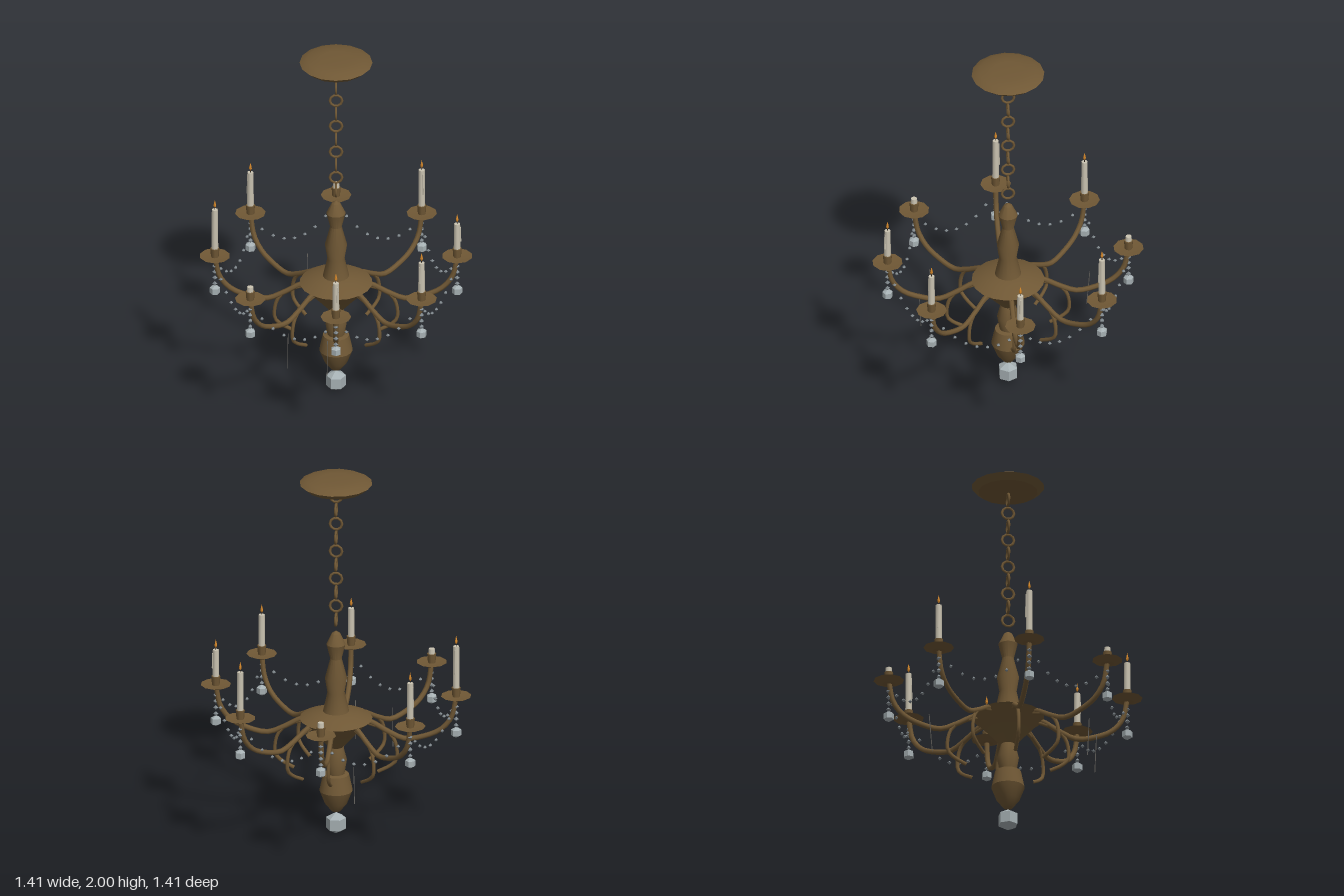
import * as THREE from 'three';
import { toCreasedNormals } from 'three/addons/utils/BufferGeometryUtils.js';

const material = (name, color, extra = {}) => {
  const m = new THREE.MeshStandardMaterial({ color, ...extra });
  m.name = name;
  return m;
};
const bronze = material('agedBronze', 0x705835);
const wax = material('candleWax', 0xcbc4b2);
const crystal = material('crystal', 0xa6b0b3);
const beadGlass = material('beadGlass', 0x7f878c);
const flameOrange = material('flameOrange', 0xd98a2b);
const wickBlack = material('wickBlack', 0x2a2118);
const webGrey = material('webGrey', 0x66645f, { side: THREE.DoubleSide });

const ARM_RADIUS = 0.63;
const ARM_COUNT = 8;

function add(parent, name, geometry, mat, x = 0, y = 0, z = 0) {
  const mesh = new THREE.Mesh(geometry, mat);
  mesh.name = name;
  mesh.position.set(x, y, z);
  parent.add(mesh);
  return mesh;
}

// Profiles run from bottom to top as [radius, height]
function lathe(profile, sides, crease = 0.55) {
  const points = profile.map(([r, y]) => new THREE.Vector2(r, y));
  return toCreasedNormals(new THREE.LatheGeometry(points, sides), crease);
}

// Tube in the radial plane, points as [radius, height]
function radialTube(points, radius, segments) {
  const curve = new THREE.CatmullRomCurve3(points.map(([r, y]) => new THREE.Vector3(r, y, 0)));
  return new THREE.TubeGeometry(curve, segments, radius, 6);
}

// Faceted drop with six upright sides
function crystalGeometry(radius) {
  return toCreasedNormals(new THREE.SphereGeometry(radius, 6, 3), 0.1);
}

export function createModel() {
  const model = new THREE.Group();
  model.name = 'chandelier';

  // Ceiling canopy
  add(model, 'ceilingCanopy', lathe([
    [0, 1.945], [0.155, 1.945], [0.19, 1.975], [0.15, 1.994], [0.08, 1.999], [0, 2.0],
  ], 16), bronze);

  // Chain of alternating links
  const linkGeometry = new THREE.TorusGeometry(0.032, 0.007, 6, 10);
  for (let i = 0; i < 10; i++) {
    const link = add(model, 'chainLink', linkGeometry, bronze, 0, 1.9 - i * 0.077, 0);
    link.rotation.y = i % 2 ? Math.PI / 2 : 0;
  }

  // Turned central column with bowl and lower bulb
  add(model, 'centralColumn', lathe([
    [0, 0.125], [0.025, 0.135], [0.06, 0.18], [0.087, 0.25], [0.068, 0.34], [0.045, 0.345],
    [0.057, 0.42], [0.038, 0.495], [0.1, 0.565], [0.16, 0.63], [0.19, 0.655],
    [0.12, 0.685], [0.068, 0.695], [0.045, 0.8], [0.058, 0.88], [0.03, 0.99],
    [0.05, 1.07], [0.022, 1.13], [0, 1.145],
  ], 18), bronze);
  add(model, 'bottomCrystal', crystalGeometry(0.06), crystal, 0, 0.065, 0);

  // Shared arm parts
  const armGeometry = radialTube([
    [0.1, 0.665], [0.18, 0.645], [0.27, 0.595], [0.36, 0.558], [0.47, 0.58],
    [0.55, 0.62], [0.605, 0.69], [0.63, 0.81],
  ], 0.014, 20);
  const hookGeometry = radialTube([
    [0.13, 0.645], [0.25, 0.605], [0.305, 0.55], [0.318, 0.44], [0.29, 0.405], [0.22, 0.365],
  ], 0.01, 16);
  const panGeometry = lathe([
    [0, 0.79], [0.035, 0.792], [0.08, 0.812], [0.035, 0.808], [0, 0.808],
  ], 10, 0.3);
  const cupGeometry = new THREE.CylinderGeometry(0.024, 0.02, 0.052, 8);
  const wickGeometry = new THREE.CylinderGeometry(0.002, 0.002, 0.016, 5);
  const flameGeometry = lathe([[0, 0], [0.008, 0.015], [0.005, 0.03], [0, 0.05]], 6, 1);
  const beadGeometry = new THREE.OctahedronGeometry(0.014);
  const smallBeadGeometry = new THREE.OctahedronGeometry(0.011);
  const dropGeometry = crystalGeometry(0.031);

  // Height of each candle top, going round from the model's left; short ones are burnt out
  const candleTops = [1.005, 1.07, 0.885, 1.055, 1.09, 0.885, 1.015, 1.03];

  candleTops.forEach((top, i) => {
    const branch = new THREE.Group();
    branch.name = 'branch';
    branch.rotation.y = (i / ARM_COUNT) * Math.PI * 2;
    model.add(branch);

    add(branch, 'arm', armGeometry, bronze);
    add(branch, 'lowerHook', hookGeometry, bronze);
    add(branch, 'dripPan', panGeometry, bronze, ARM_RADIUS);
    add(branch, 'candleCup', cupGeometry, bronze, ARM_RADIUS, 0.832, 0);

    // Candle with a run of wax
    const height = top - 0.85;
    add(branch, 'candle', new THREE.CylinderGeometry(0.016, 0.018, height, 8), wax,
      ARM_RADIUS, 0.85 + height / 2, 0);
    if (top > 0.9) {
      const dripLength = height * 0.55;
      add(branch, 'waxDrip', new THREE.CylinderGeometry(0.004, 0.006, dripLength, 5), wax,
        ARM_RADIUS + 0.016 * Math.cos(i * 2), top - 0.02 - dripLength / 2, 0.016 * Math.sin(i * 2));
      add(branch, 'wick', wickGeometry, wickBlack, ARM_RADIUS, top + 0.006, 0);
      add(branch, 'flame', flameGeometry, flameOrange, ARM_RADIUS, top + 0.008, 0);
    }

    // Hanging beads and crystal
    for (let k = 0; k < 4; k++) {
      add(branch, 'pendantBead', beadGeometry, beadGlass, ARM_RADIUS, 0.75 - k * 0.035, 0);
    }
    add(branch, 'pendantCrystal', dropGeometry, crystal, ARM_RADIUS, 0.606, 0);

    // Bead garland sagging towards the next arm
    const next = (Math.PI * 2) / ARM_COUNT;
    for (let k = 1; k < 8; k++) {
      const t = k / 8;
      const sag = 4 * t * (1 - t);
      const r = ARM_RADIUS * (1 - 0.03 * sag);
      add(branch, 'garlandBead', smallBeadGeometry, beadGlass,
        r * (1 - t + t * Math.cos(next)), 0.77 - 0.155 * sag, -r * t * Math.sin(next));
    }
  });

  // Loose cobweb strands
  for (const [x, z] of [[-0.25, 0.38], [-0.045, 0.455], [-0.15, -0.435]]) {
    const strand = add(model, 'cobwebStrand', new THREE.PlaneGeometry(0.005, 0.215), webGrey, x, 0.46, z);
    strand.rotation.set(Math.sign(z) * 0.06, 0.9, -0.02);
  }

  return model;
}
